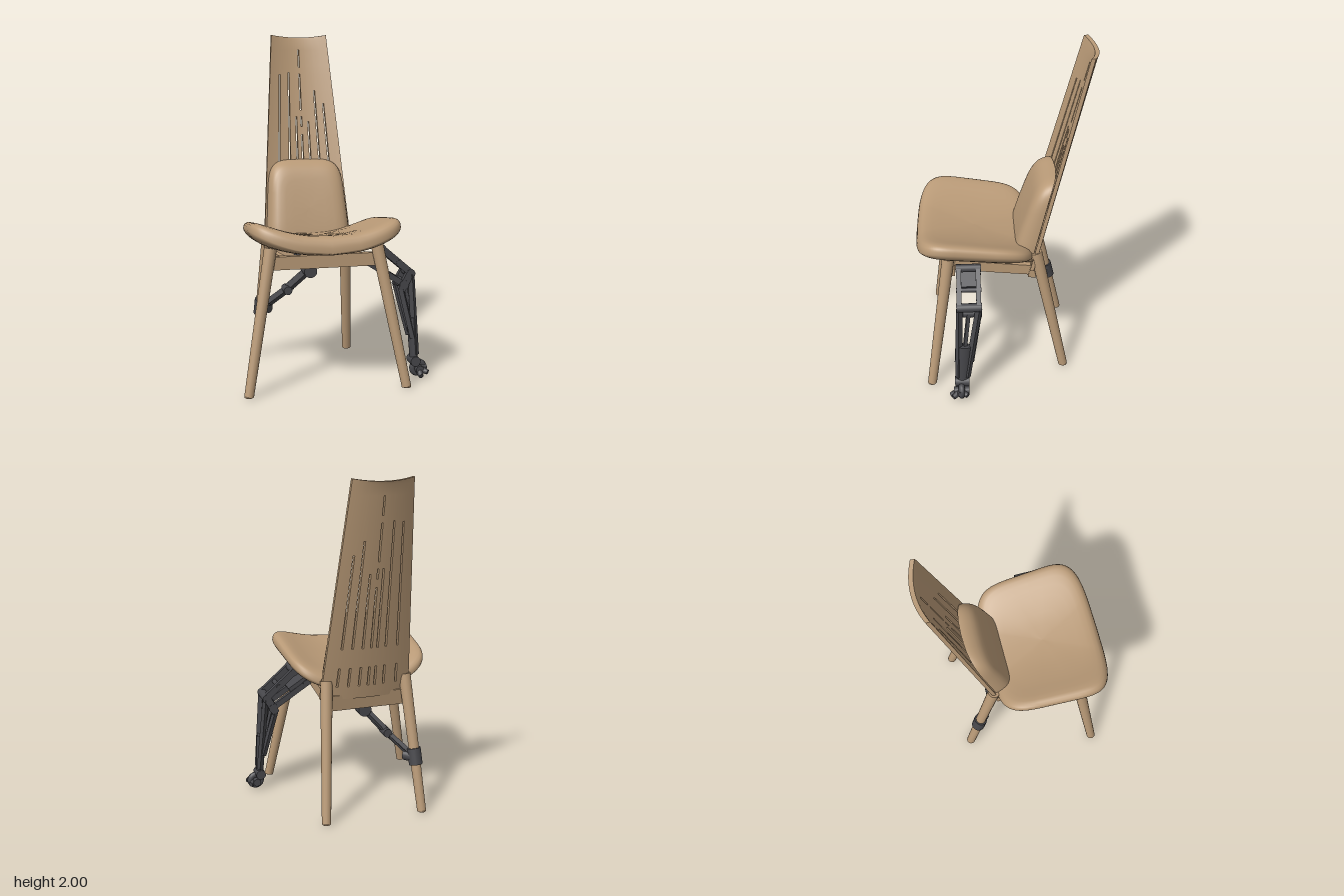
import * as THREE from 'three';
import { toCreasedNormals } from 'three/addons/utils/BufferGeometryUtils.js';

const wood = new THREE.MeshStandardMaterial({ color: 0xb99a77 });
wood.name = 'light wood';
const metal = new THREE.MeshStandardMaterial({ color: 0x47474b });
metal.name = 'dark metal';
const V = (x, y, z) => new THREE.Vector3(x, y, z);
const UP = V(0, 1, 0);

function add(parent, name, geometry, material) {
  const mesh = new THREE.Mesh(geometry, material);
  mesh.name = name;
  parent.add(mesh);
  return mesh;
}
function between(mesh, a, b) {
  mesh.position.copy(a).lerp(b, 0.5);
  mesh.quaternion.setFromUnitVectors(UP, b.clone().sub(a).normalize());
  return mesh;
}
// Round bar from a to b
const rod = (parent, name, a, b, ra, rb, mat) =>
  between(add(parent, name, new THREE.CylinderGeometry(rb, ra, a.distanceTo(b), 18), mat), a, b);
// Square bar from a to b
const bar = (parent, name, a, b, w, d, mat) =>
  between(add(parent, name, new THREE.BoxGeometry(w, a.distanceTo(b), d), mat), a, b);
function box(parent, name, w, h, d, x, y, z, mat) {
  const m = add(parent, name, new THREE.BoxGeometry(w, h, d), mat);
  m.position.set(x, y, z);
  return m;
}

// Closed cushion shell: rings run over the top, round the rim and back underneath
function shell(pointAt) {
  const s = [0, 0.2, 0.4, 0.6, 0.72, 0.82, 0.89, 0.94, 0.975, 0.993, 1];
  const rings = [...s.map(r => [r, 1]), ...s.slice(0, -1).reverse().map(r => [r, 0])];
  const N = 80, pos = [], idx = [];
  const power = c => Math.sign(c) * Math.abs(c) ** 0.4;
  rings.forEach(([r, top], i) => {
    for (let j = 0; j < N; j++) {
      const a = (j / N) * Math.PI * 2;
      pos.push(...pointAt(r * power(Math.cos(a)), r * power(Math.sin(a)), r, top));
      if (i === rings.length - 1) continue;
      const k = (j + 1) % N, A = i * N, B = A + N;
      idx.push(A + j, B + j, B + k, A + j, B + k, A + k);
    }
  });
  const g = new THREE.BufferGeometry();
  g.setAttribute('position', new THREE.Float32BufferAttribute(pos, 3));
  g.setIndex(idx);
  g.computeVertexNormals();
  return g;
}

// Saddle-shaped seat, sides swept up, front bowed and rolled over
const seatPoint = (p, q, r, top) => {
  const x = -0.077 + p * (0.424 - 0.018 * q);
  const z = 0.175 - q * 0.347 - 0.03 * p * p * Math.max(-q, 0);
  const bottom = 0.735 + 0.12 * z + 0.09 * p * p;
  const rim = bottom + 0.018 + 0.042 * p * p;
  const crown = 0.833 + 0.155 * z + 0.12 * Math.abs(p) ** 2.2;
  const y = top ? rim + (crown - rim) * Math.sqrt(1 - r ** 12)
                : rim + (bottom - rim) * Math.sqrt(1 - r ** 6);
  return [x, y, z];
};

// Leaning surface shared by the back panel and its pad
const backZ = (u, y) => -0.172 - 0.242 * (y - 0.8) - 0.038 * (1 - u * u);

// Lumbar pad, bulging forward at the base
const padPoint = (p, q, r, top) => {
  const y = 0.972 + q * 0.272;
  const x = -0.066 + p * (0.242 - 0.02 * q);
  const rim = backZ(p * 0.9, y) + 0.01;
  const d = y - 0.8;
  const front = -0.055 - 0.25 * d - 0.2 * d * Math.abs(d) - 0.008 * (1 - p * p);
  return [x, y, top ? rim + (front - rim) * Math.sqrt(1 - r ** 9) : rim - 0.008 * (1 - r)];
};

// Curved tapering panel, with cells left out for the fanned slots
function backPanel() {
  const slots = [];
  const tops = [[-0.66, 1.76], [-0.36, 1.77], [-0.15, 1.5], [0.2, 1.47], [0.44, 1.66], [0.68, 1.58]];
  for (const [u, y] of tops) slots.push([u, 0.78, 0.9], [u, 1.02, y]);
  for (const [a, b] of [[0.78, 0.9], [1.02, 1.39], [1.44, 1.5], [1.54, 1.76], [1.8, 1.91]]) slots.push([0, a, b]);
  const HALF = 0.022;
  const sorted = list => [...new Set(list.map(v => +v.toFixed(4)))].sort((a, b) => a - b);
  const us = sorted([...Array.from({ length: 21 }, (_, i) => -1 + i / 10), ...slots.flatMap(s => [s[0] - HALF, s[0] + HALF])]);
  const ys = sorted([0.7, 0.85, 1.2, 1.97, 2, ...slots.flatMap(s => [s[1], s[2]])]);
  const solid = (i, j) => {
    if (i < 0 || j < 0 || i >= us.length - 1 || j >= ys.length - 1) return false;
    const u = (us[i] + us[i + 1]) / 2, y = (ys[j] + ys[j + 1]) / 2;
    return !slots.some(s => Math.abs(u - s[0]) < HALF && y > s[1] && y < s[2]);
  };
  const P = (i, j, back) => {
    const u = us[i], y = ys[j], t = (y - 0.8) / 1.2;
    const dip = y === 2 ? 0.015 * (1 - u * u) : 0;
    return [-0.067 + 0.0095 * t + u * (0.265 - 0.0925 * t), y - dip, backZ(u, y) - (back ? 0.024 : 0)];
  };
  const pos = [];
  const quad = (a, b, c, d) => pos.push(...a, ...b, ...c, ...a, ...c, ...d);
  for (let i = 0; i < us.length - 1; i++) for (let j = 0; j < ys.length - 1; j++) {
    if (!solid(i, j)) continue;
    const f = [P(i, j), P(i + 1, j), P(i + 1, j + 1), P(i, j + 1)];
    const b = [P(i, j, 1), P(i + 1, j, 1), P(i + 1, j + 1, 1), P(i, j + 1, 1)];
    quad(...f);
    quad(b[1], b[0], b[3], b[2]);
    [[0, -1], [1, 0], [0, 1], [-1, 0]].forEach(([di, dj], e) => {
      const n = (e + 1) % 4;
      if (!solid(i + di, j + dj)) quad(f[n], f[e], b[e], b[n]);
    });
  }
  const g = new THREE.BufferGeometry();
  g.setAttribute('position', new THREE.Float32BufferAttribute(pos, 3));
  return toCreasedNormals(g, 0.6);
}

// Long side arm: framed upper link, four-bar forearm and a claw foot
function sideArm() {
  const g = new THREE.Group();
  g.name = 'sideArm';
  const zc = 0.215;
  for (const s of [-1, 1]) {
    const z = zc + s * 0.056;
    bar(g, 'upperLink', V(0.17, 0.715, z), V(0.41, 0.56, z), 0.034, 0.026, metal);
    bar(g, 'upperLink', V(0.26, 0.79, z), V(0.44, 0.635, z), 0.04, 0.028, metal);
    bar(g, 'elbowPlate', V(0.39, 0.53, z), V(0.45, 0.64, z), 0.045, 0.03, metal);
    bar(g, 'innerForearm', V(0.39, 0.54, z), V(0.46, 0.24, 0.25 + s * 0.04), 0.028, 0.024, metal);
    bar(g, 'outerForearm', V(0.45, 0.62, z), V(0.48, 0.14, 0.26 + s * 0.025), 0.032, 0.024, metal);
  }
  const axles = [[0.2, 0.7, 0.018], [0.27, 0.78, 0.024], [0.37, 0.695, 0.014],
    [0.405, 0.56, 0.028], [0.445, 0.625, 0.026]];
  for (const [x, y, r] of axles) rod(g, 'axle', V(x, y, zc - 0.073), V(x, y, zc + 0.073), r, r, metal);
  bar(g, 'mountPlate', V(0.19, 0.73, zc), V(0.3, 0.66, zc), 0.035, 0.13, metal);
  bar(g, 'piston', V(0.425, 0.56, 0.22), V(0.465, 0.3, 0.25), 0.02, 0.02, metal);
  // Solid tapering shin above the wrist
  const shin = rod(g, 'shin', V(0.474, 0.12, 0.265), V(0.462, 0.36, 0.25), 0.036, 0.045, metal);
  shin.scale.set(0.6, 1, 1);
  rod(g, 'wristJoint', V(0.475, 0.1, 0.222), V(0.475, 0.1, 0.308), 0.03, 0.03, metal);
  const ring = add(g, 'clawRing', new THREE.TorusGeometry(0.034, 0.019, 10, 20), metal);
  ring.position.set(0.5, 0.053, 0.27);
  rod(g, 'clawHub', V(0.5, 0.05, 0.225), V(0.5, 0.05, 0.315), 0.024, 0.024, metal);
  for (const [x, y, z] of [[0.545, 0.035, 0.32], [0.55, 0.06, 0.28], [0.54, 0.04, 0.235], [0.5, 0.018, 0.335]])
    rod(g, 'clawFinger', V(0.5, 0.05, 0.275), V(x, y, z), 0.024, 0.014, metal);
  return g;
}

// Short brace from under the seat to a clamp on the right back leg
function rearBrace(clampA, clampB) {
  const g = new THREE.Group();
  g.name = 'rearBrace';
  box(g, 'braceMount', 0.16, 0.055, 0.1, -0.08, 0.67, -0.09, metal);
  rod(g, 'braceSwivel', V(-0.08, 0.66, -0.08), V(-0.08, 0.59, -0.09), 0.036, 0.03, metal);
  rod(g, 'braceJoint', V(-0.08, 0.595, -0.145), V(-0.08, 0.595, -0.03), 0.04, 0.04, metal);
  for (const s of [-1, 1]) {
    const o = V(s * 0.018, s * 0.014, s * 0.026);
    bar(g, 'braceLink', V(-0.08, 0.6, -0.08).add(o), V(-0.21, 0.45, -0.18).add(o), 0.026, 0.026, metal);
    bar(g, 'braceLink', V(-0.19, 0.47, -0.165).add(o), V(-0.31, 0.35, -0.265).add(o), 0.026, 0.026, metal);
  }
  rod(g, 'middleJoint', V(-0.2, 0.46, -0.215), V(-0.2, 0.46, -0.125), 0.026, 0.026, metal);
  rod(g, 'braceCore', V(-0.09, 0.59, -0.09), V(-0.31, 0.34, -0.27), 0.016, 0.016, metal);
  rod(g, 'clampKnuckle', V(-0.295, 0.33, -0.25), V(-0.33, 0.33, -0.29), 0.034, 0.034, metal);
  rod(g, 'legClamp', clampA, clampB, 0.041, 0.041, metal);
  return g;
}

export function createModel() {
  const model = new THREE.Group();
  model.name = 'chair';

  add(model, 'seat', shell(seatPoint), wood);
  add(model, 'backPad', shell(padPoint), wood);
  add(model, 'backPanel', backPanel(), wood);

  // Legs, foot to top
  const legs = [
    ['frontLeg', V(-0.53, 0.009, 0.417), V(-0.385, 0.82, 0.315)],
    ['frontLeg', V(0.372, 0.009, 0.449), V(0.225, 0.82, 0.33)],
    ['backLeg', V(-0.362, 0.009, -0.37), V(-0.31, 0.815, -0.185)],
    ['backLeg', V(0.228, 0.009, -0.362), V(0.17, 0.815, -0.185)],
  ];
  for (const [name, foot, top] of legs) {
    rod(model, name, foot, top, 0.027, 0.036, wood);
    const tip = add(model, name + 'Tip', new THREE.SphereGeometry(0.027, 18, 10), wood);
    tip.scale.y = 0.33;
    tip.position.copy(foot);
  }

  // Rails under the seat
  box(model, 'frontRail', 0.61, 0.075, 0.035, -0.075, 0.733, 0.31, wood);
  box(model, 'backRail', 0.48, 0.1, 0.045, -0.068, 0.68, -0.172, wood).rotation.x = -0.2;
  for (const x of [-0.3, 0.15]) bar(model, 'sideRail', V(x, 0.73, 0.3), V(x, 0.68, -0.17), 0.035, 0.065, wood);

  const [, foot, top] = legs[2];
  model.add(sideArm(), rearBrace(foot.clone().lerp(top, 0.34), foot.clone().lerp(top, 0.46)));
  return model;
}
